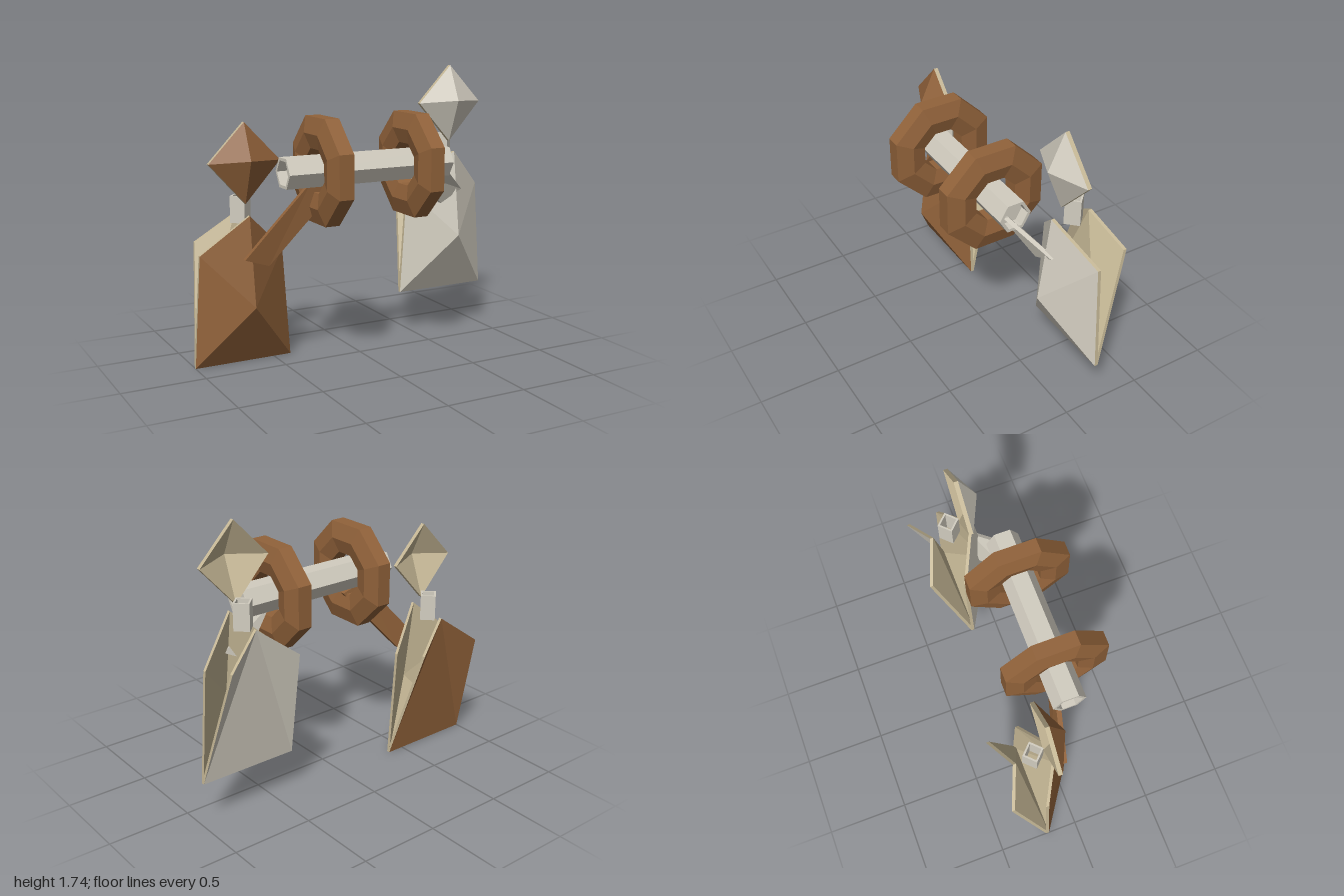
import * as THREE from 'three';

const paint = (color) => new THREE.MeshStandardMaterial({ color, flatShading: true });
const silver = paint(0xd2cdc0);
const cream = paint(0xc6b896);
const brown = paint(0x91623a);

function mesh(name, geometry, material) {
  const m = new THREE.Mesh(geometry, material);
  m.name = name;
  return m;
}

function trianglesToGeometry(tris) {
  const g = new THREE.BufferGeometry();
  g.setAttribute('position', new THREE.Float32BufferAttribute(tris.flat(2), 3));
  g.computeVertexNormals();
  return g;
}

// Thin folded sheet: outline runs counter-clockwise seen from its outer side.
// Faces fan from the centre point, or from the first corner when there is none.
function sheet(name, outline, centre, thickness, outerMat, innerMat) {
  const back = (p) => [p[0], p[1], p[2] + thickness];
  const n = outline.length;
  const outer = [];
  const inner = [];
  for (let i = centre ? 0 : 1; i < (centre ? n : n - 1); i++) {
    outer.push([centre || outline[0], outline[i], outline[(i + 1) % n]]);
  }
  outer.forEach(([a, b, c]) => inner.push([back(a), back(c), back(b)]));
  outline.forEach((a, i) => {
    const b = outline[(i + 1) % n];
    inner.push([a, back(a), back(b)], [a, back(b), b]);
  });
  const group = new THREE.Group();
  group.name = name;
  group.add(mesh(name + 'Outside', trianglesToGeometry(outer), outerMat));
  group.add(mesh(name + 'Lining', trianglesToGeometry(inner), innerMat));
  return group;
}

// Faceted solid of revolution with few sides
function lathe(points, sides, phase = 0) {
  return new THREE.LatheGeometry(points.map(([r, y]) => new THREE.Vector2(r, y)), sides, phase);
}

// Hanging pouch: folded front and back plates, square tube and diamond top
function createPouch(name, mat) {
  const pouch = new THREE.Group();
  pouch.name = name;

  pouch.add(sheet('frontPlate', [
    [0, 0.915, -0.04], [-0.26, 0.675, -0.18], [-0.305, 0, -0.18],
    [0.305, 0, -0.18], [0.26, 0.675, -0.18],
  ], [0, 0.385, 0.03], -0.02, mat, cream));

  pouch.add(sheet('backPlate', [
    [0, 0.885, -0.31], [0.22, 0.715, -0.4], [0.305, 0, -0.2],
    [-0.305, 0, -0.2], [-0.22, 0.715, -0.4],
  ], null, 0.02, mat, cream));

  pouch.add(sheet('diamondTop', [
    [0, 1.45, -0.1], [-0.22, 1.22, -0.1], [0, 0.975, -0.1], [0.22, 1.22, -0.1],
  ], [0, 1.235, 0], -0.025, mat, cream));

  const tube = mesh('squareTube', lathe([
    [0.065, -0.08], [0.065, 0.08], [0.05, 0.08], [0.05, -0.08], [0.065, -0.08],
  ], 4), silver);
  tube.position.set(0, 0.935, -0.187);
  pouch.add(tube);
  return pouch;
}

export function createModel() {
  const model = new THREE.Group();
  model.name = 'model';

  // Hexagonal bar with recessed ends
  const L = 0.543;
  const E = L - 0.06;
  const bar = mesh('bar', lathe([
    [0, -E], [0.08, -E], [0.08, -L], [0.1, -L],
    [0.1, L], [0.08, L], [0.08, E], [0, E],
  ], 6).rotateZ(Math.PI / 2), silver);
  bar.position.set(0, 1.17, 0.09);
  model.add(bar);

  // Octagonal rings around the bar
  const ringGeometry = lathe([
    [0.333, -0.045], [0.333, 0.045], [0.23, 0.075], [0.136, 0.05],
    [0.136, -0.05], [0.23, -0.075], [0.333, -0.045],
  ], 8, Math.PI / 8).rotateZ(Math.PI / 2);
  for (const side of [-1, 1]) {
    const ring = mesh(side < 0 ? 'rightRing' : 'leftRing', ringGeometry, brown);
    ring.position.set(side * 0.295, 1.17, 0.093);
    model.add(ring);
  }

  // Pouches, the left one hanging higher
  const rightPouch = createPouch('rightPouch', brown);
  rightPouch.position.x = -0.695;
  const leftPouch = createPouch('leftPouch', silver);
  leftPouch.position.set(0.695, 0.285, 0);
  model.add(rightPouch, leftPouch);

  // Flat arms from the bar to the pouches
  model.add(sheet('rightArm', [
    [-0.37, 1.1, 0.09], [-0.75, 0.67, 0.015], [-0.6, 0.62, 0.01], [-0.22, 1.05, 0.1],
  ], null, -0.03, brown, brown));
  model.add(sheet('leftArm', [
    [0.34, 1.1, 0.1], [0.59, 0.88, -0.02], [0.74, 0.96, -0.02], [0.5, 1.15, 0.14],
  ], null, -0.03, silver, silver));

  return model;
}
